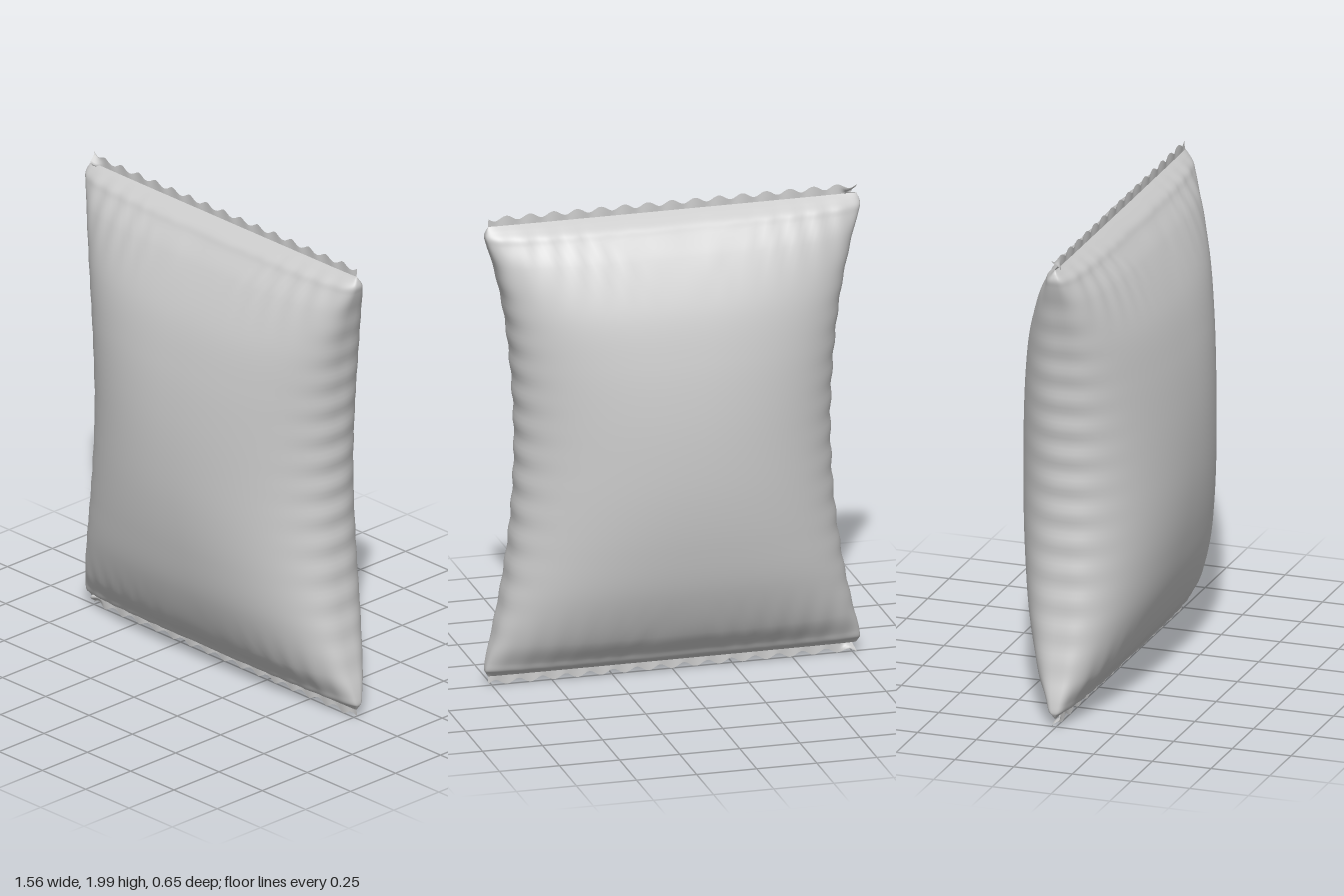
import * as THREE from 'three';

const material = new THREE.MeshStandardMaterial({ color: 0xcccccc, side: THREE.DoubleSide });

// Outline stations: height, half width, half depth
const stations = [
  [0.045, 0.765, 0.006], [0.06, 0.775, 0.03], [0.075, 0.78, 0.06], [0.11, 0.775, 0.085],
  [0.2, 0.75, 0.155], [0.4, 0.705, 0.245], [0.6, 0.675, 0.293], [0.8, 0.657, 0.319],
  [1, 0.65, 0.326], [1.2, 0.655, 0.318], [1.4, 0.67, 0.293], [1.6, 0.697, 0.245],
  [1.8, 0.745, 0.153], [1.88, 0.772, 0.096], [1.91, 0.78, 0.075], [1.935, 0.775, 0.04],
  [1.955, 0.765, 0.006],
];

// Inflated pouch lofted from superellipse sections
function pouchGeometry(rows = 144, around = 128) {
  const curve = new THREE.CatmullRomCurve3(stations.map((s) => new THREE.Vector3(...s)));
  const positions = [], indices = [];
  const bend = (v, p) => Math.sign(v) * Math.abs(v) ** (2 / p);
  for (let i = 0; i <= rows; i++) {
    const { x: y, y: w, z: d } = curve.getPoint(i / rows);
    const end = Math.min(1, Math.abs(y - 1) / 0.94);
    const p = 2.15 + 1.25 * end ** 2;
    // Small puckers along the sides and gathers next to the seals
    const pucker = 0.004 * Math.sin(y * 52) * (1 - end ** 2);
    const gather = 0.004 * Math.min(1, d / 0.08) * THREE.MathUtils.smoothstep(end, 0.65, 0.95);
    for (let j = 0; j < around; j++) {
      const a = (j / around) * Math.PI * 2;
      const c = Math.cos(a), s = Math.sin(a);
      const x = (w + pucker * Math.abs(c) ** 8) * bend(c, p);
      const z = d * bend(s, p) + gather * s * Math.sin(x * 62);
      positions.push(x, y, z);
      if (i < rows) {
        const k = i * around, n = (j + 1) % around;
        const A = k + j, B = k + n, C = A + around, D = B + around;
        indices.push(A, C, B, B, C, D);
      }
    }
  }
  const g = new THREE.BufferGeometry();
  g.setAttribute('position', new THREE.Float32BufferAttribute(positions, 3));
  g.setIndex(indices);
  g.computeVertexNormals();
  return g;
}

// Flat crimped seal with a scalloped rim and one crumpled corner
function sealGeometry(inner, rim, dir) {
  const g = new THREE.PlaneGeometry(1.53, 1, 192, 6);
  const pos = g.attributes.position;
  for (let i = 0; i < pos.count; i++) {
    const x = pos.getX(i);
    const t = pos.getY(i) + 0.5;
    const crumple = THREE.MathUtils.smoothstep(-x, 0.69, 0.765);
    const edge = rim + dir * (0.01 * Math.cos(x * 64) + 0.006 * crumple);
    pos.setXYZ(i, x + 0.02 * crumple * (1 - t), inner + (edge - inner) * t,
      0.003 * Math.sin(x * 64) * t + 0.018 * crumple * Math.sin(t * 5));
  }
  g.computeVertexNormals();
  return g;
}

export function createModel() {
  const group = new THREE.Group();
  group.name = 'pillowPouch';
  const add = (name, geometry) => {
    const mesh = new THREE.Mesh(geometry, material);
    mesh.name = name;
    group.add(mesh);
  };
  add('pouch', pouchGeometry());
  add('topSeal', sealGeometry(1.94, 1.985, 1));
  add('bottomSeal', sealGeometry(0.06, 0.016, -1));
  return group;
}
